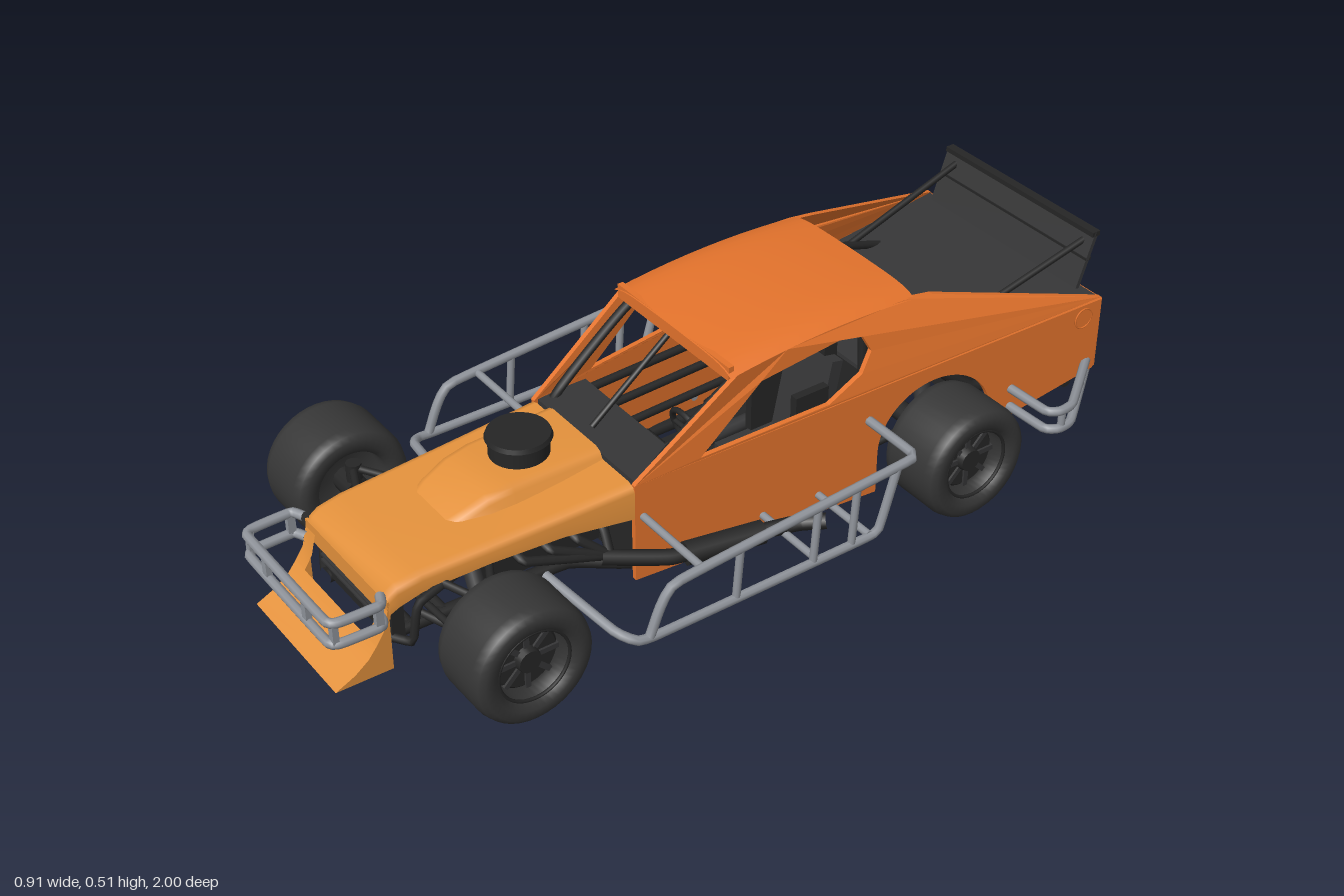
import * as THREE from 'three';

const mat = (name, color, side = THREE.FrontSide) => {
  const m = new THREE.MeshStandardMaterial({ color, side });
  m.name = name;
  return m;
};
const V = (p) => new THREE.Vector3(...p);
const C = 0.027; // the cabin sits slightly to the left of the chassis

export function createModel() {
  const car = new THREE.Group();
  car.name = 'raceCar';
  const orange = mat('bodyOrange', 0xe4732c, THREE.DoubleSide);
  const amber = mat('hoodAmber', 0xe3913c, THREE.DoubleSide);
  const rubber = mat('tyreGrey', 0x363636);
  const black = mat('frameBlack', 0x262626);
  const deckGrey = mat('deckGrey', 0x363637);
  const steel = mat('tubeSteel', 0x8f939a);

  const add = (name, geo, m, pos = [0, 0, 0], parent = car) => {
    const mesh = new THREE.Mesh(geo, m);
    mesh.name = name;
    mesh.position.set(...pos);
    parent.add(mesh);
    return mesh;
  };
  const box = (name, size, pos, m) => add(name, new THREE.BoxGeometry(...size), m, pos);
  const bar = (name, a, b, r, m) => {
    const d = V(b).sub(V(a));
    const mesh = add(name, new THREE.CylinderGeometry(r, r, d.length(), 10), m);
    mesh.position.copy(V(a)).addScaledVector(d, 0.5);
    mesh.quaternion.setFromUnitVectors(new THREE.Vector3(0, 1, 0), d.normalize());
    return mesh;
  };
  const tube = (name, pts, r, m) => {
    const curve = new THREE.CatmullRomCurve3(pts.map(V), false, 'catmullrom', 0.15);
    return add(name, new THREE.TubeGeometry(curve, pts.length * 8, r, 8), m);
  };
  // Smooth skin through a list of cross-sections with equal point counts
  const loft = (name, sections, m) => {
    const n = sections[0].length, idx = [];
    for (let i = 0; i < sections.length - 1; i++)
      for (let j = 0; j < n - 1; j++) {
        const a = i * n + j, b = a + n;
        idx.push(a, b, a + 1, b, b + 1, a + 1);
      }
    const g = new THREE.BufferGeometry();
    g.setAttribute('position', new THREE.Float32BufferAttribute(sections.flat(2), 3));
    g.setIndex(idx);
    g.computeVertexNormals();
    return add(name, g, m);
  };
  const bend = (geo, rule) => {
    const p = geo.attributes.position;
    for (let i = 0; i < p.count; i++) p.setXYZ(i, ...rule(p.getX(i), p.getY(i), p.getZ(i)));
    geo.computeVertexNormals();
    return geo;
  };

  // Half width of the bodywork at a given length and height
  const halfWidth = (z, y) => {
    const base = 0.2 + (0.285 - z) * 0.087, belt = 0.285 + (0.285 - z) * 0.0545;
    return THREE.MathUtils.lerp(base, 0.215, Math.max(0, (y - belt) / (0.49 - belt)));
  };
  const poly = (pts) => pts.map((p) => new THREE.Vector2(...p));

  // Body sides: lower panel with wheel arch, upper panel with window
  const lower = new THREE.Shape(poly([[0.285, 0.035], [0.285, 0.285], [-0.945, 0.352], [-0.94, 0.165], [-0.645, 0.1], [-0.645, 0.14]]));
  lower.absellipse(-0.49, 0.14, 0.155, 0.15, Math.PI, 0, true);
  lower.lineTo(-0.335, 0.035);
  const upper = new THREE.Shape(poly([[0.285, 0.285], [0.03, 0.475], [-0.1, 0.489], [-0.26, 0.497], [-0.435, 0.492], [-0.5, 0.482], [-0.945, 0.356], [-0.945, 0.352]]));
  upper.holes.push(new THREE.Path(poly([[0.125, 0.3], [-0.03, 0.437], [-0.26, 0.463], [-0.3, 0.45], [-0.32, 0.41], [-0.29, 0.365], [-0.2, 0.32]])));
  for (const s of [1, -1]) {
    for (const [name, shape] of [['lowerSidePanel', lower], ['upperSidePanel', upper]]) {
      const g = new THREE.ExtrudeGeometry(shape, { depth: 0.012, bevelEnabled: false, curveSegments: 20 });
      add(name, bend(g, (z, y, d) => [C + s * (halfWidth(z, y) - d), y, z]), orange);
    }
    const cap = add('fuelCapRing', new THREE.TorusGeometry(0.025, 0.002, 6, 24), orange, [C + s * (halfWidth(-0.895, 0.315) + 0.001), 0.315, -0.895]);
    cap.rotation.y = Math.PI / 2;
  }

  // Gently crowned roof with rounded edges, and windscreen header
  const roof = new THREE.PlaneGeometry(2, 0.5, 20, 10);
  add('roof', bend(roof, (u, v) => {
    const z = -0.2 + v;
    return [C + u * 0.217, 0.496 - 0.24 * (z + 0.26) ** 2 + 0.015 * (1 - u ** 8) + 0.005 * (1 - u * u), z];
  }), orange);
  box('windscreenHeader', [0.41, 0.034, 0.014], [C, 0.476, 0.04], orange);

  // Tail panel with pressed lines, deck and spoiler
  box('tailPanel', [0.61, 0.185, 0.01], [C, 0.26, -0.942], orange);
  for (const y of [0.25, 0.27, 0.29]) box('tailPressing', [0.4, 0.003, 0.003], [C, y, -0.948], orange);
  add('rearDeck', bend(new THREE.BoxGeometry(2, 0.01, 0.5), (x, y, z) =>
    [C + x * (halfWidth(z - 0.69, 0.3) - 0.016), 0.339 + y - z * 0.05, z - 0.69]), deckGrey);
  box('spoiler', [0.507, 0.14, 0.01], [0.024, 0.427, -0.942], deckGrey).rotation.x = -0.33;
  box('spoilerLip', [0.507, 0.012, 0.022], [0.024, 0.49, -0.963], black);
  box('spoilerRib', [0.507, 0.008, 0.016], [0.024, 0.43, -0.945], black);

  // Hood with side skirts, and a raised scoop with flared flanks
  const shell = ([z, l, r, top, skirt, flare = 0]) => [[l - flare, skirt, z], [l, top - 0.018, z], [l + 0.006, top - 0.006, z], [l + 0.022, top, z],
    [r - 0.022, top, z], [r - 0.006, top - 0.006, z], [r, top - 0.018, z], [r + flare, skirt, z]];
  loft('hood', [[0.285, -0.173, 0.227, 0.286, 0.2], [0.45, -0.174, 0.208, 0.27, 0.215], [0.62, -0.175, 0.19, 0.256, 0.212],
    [0.77, -0.175, 0.175, 0.245, 0.2], [0.825, -0.173, 0.173, 0.235, 0.185], [0.845, -0.172, 0.172, 0.222, 0.175], [0.853, -0.172, 0.172, 0.2, 0.165]].map(shell), amber);
  loft('hoodScoop', [[0.285, -0.105, 0.105, 0.308, 0.265, 0.02], [0.5, -0.1, 0.1, 0.303, 0.25, 0.02], [0.56, -0.096, 0.096, 0.293, 0.245, 0.018],
    [0.62, -0.088, 0.088, 0.268, 0.24, 0.014], [0.66, -0.075, 0.075, 0.245, 0.23, 0.01]].map(shell), amber);
  box('nosePanel', [0.344, 0.044, 0.006], [0, 0.186, 0.85], amber);

  // Front valance: curved scoop, side plates and posts beside the grille
  const curve = [[0.11, 0.885], [0.085, 0.905], [0.06, 0.938], [0.038, 0.985]];
  loft('valance', curve.map(([y, z]) => [[-0.173, y, z], [0.173, y, z]]), amber);
  const plate = new THREE.Shape(poly([[0.85, 0.2], [0.865, 0.14], ...curve.map(([y, z]) => [z, y]), [0.85, 0.036]]));
  for (const s of [1, -1]) {
    add('valanceSide', bend(new THREE.ShapeGeometry(plate), (z, y) => [s * 0.173, y, z]), amber);
    loft('grillePost', [[0.2, 0.85], [0.14, 0.865], [0.11, 0.885]].map(([y, z]) => [[s * 0.132, y, z], [s * 0.173, y, z]]), amber);
  }
  box('radiator', [0.3, 0.1, 0.03], [0, 0.13, 0.82], black);
  for (const y of [0.12, 0.135, 0.15]) box('grilleSlat', [0.264, 0.005, 0.01], [0, y, 0.84], deckGrey);

  // Air cleaner and engine
  add('airCleaner', new THREE.CylinderGeometry(0.067, 0.067, 0.045, 28), black, [0, 0.325, 0.425]);
  add('airCleanerLid', new THREE.CylinderGeometry(0.07, 0.074, 0.01, 28), black, [0, 0.35, 0.425]);
  box('engineBlock', [0.17, 0.14, 0.3], [0.01, 0.14, 0.44], black);
  for (const s of [1, -1]) {
    box('cylinderHead', [0.08, 0.06, 0.28], [0.01 + s * 0.1, 0.2, 0.44], deckGrey).rotation.z = -s * 0.6;
    for (let i = 0; i < 4; i++) {
      const z = 0.54 - i * 0.065;
      tube('exhaustHeader', [[s * 0.12, 0.19, z], [s * 0.18, 0.17, z - 0.01], [C + s * 0.185, 0.12, 0.34]], 0.011, black);
    }
  }

  // Wheels
  const half = [[0, -0.035], [0.078, -0.035], [0.084, -0.072], [0.1, -0.086], [0.122, -0.0845], [0.134, -0.075], [0.14, -0.055]];
  const profile = poly([...half, ...half.map(([r, y]) => [r, -y]).reverse()]);
  for (const s of [1, -1]) for (const z of [0.675, -0.485]) {
    const wheel = new THREE.Group();
    wheel.name = z > 0 ? 'frontWheel' : 'rearWheel';
    wheel.position.set(s * 0.368, 0.142, z);
    wheel.rotation.z = -s * Math.PI / 2;
    car.add(wheel);
    add('tyre', new THREE.LatheGeometry(profile, 40), rubber, [0, 0, 0], wheel);
    add('rimDisc', new THREE.CylinderGeometry(0.07, 0.076, 0.006, 32), black, [0, 0.037, 0], wheel);
    add('hub', new THREE.CylinderGeometry(0.026, 0.03, 0.02, 16), black, [0, 0.048, 0], wheel);
    add('rimRing', new THREE.TorusGeometry(0.084, 0.004, 8, 36), black, [0, 0.071, 0], wheel).rotation.x = Math.PI / 2;
    for (let i = 0; i < 8; i++) {
      const a = i * Math.PI / 4;
      add('spoke', new THREE.BoxGeometry(0.05, 0.01, 0.012), deckGrey, [0.05 * Math.cos(a), 0.04, -0.05 * Math.sin(a)], wheel).rotation.y = a;
    }
  }

  // Front bumper
  for (const y of [0.17, 0.224])
    tube('frontBumperRail', [[-0.16, y, 0.86], [-0.188, y, 0.875], [-0.186, y, 0.96], [-0.168, y, 0.987], [0.168, y, 0.987], [0.186, y, 0.96], [0.188, y, 0.875], [0.16, y, 0.86]], 0.011, steel);
  for (const x of [-0.18, -0.085, 0.085, 0.18]) box('frontBumperPost', [0.018, 0.054, 0.014], [x, 0.197, x * x > 0.02 ? 0.978 : 0.988], steel);
  for (const x of [-0.187, 0.187]) box('frontBumperPost', [0.014, 0.054, 0.018], [x, 0.197, 0.88], steel);

  for (const s of [1, -1]) {
    // Side guard rails
    tube('sideRailUpper', [[s * 0.444, 0.085, 0.4], [s * 0.444, 0.195, 0.335], [s * 0.444, 0.24, -0.28], [s * 0.425, 0.241, -0.305], [s * 0.26, 0.24, -0.308]], 0.011, steel);
    tube('sideRailLower', [[s * 0.2, 0.13, 0.495], [s * 0.405, 0.1, 0.46], [s * 0.44, 0.085, 0.43], [s * 0.444, 0.08, 0.38], [s * 0.444, 0.08, -0.18], [s * 0.444, 0.1, -0.21], [s * 0.444, 0.235, -0.25]], 0.011, steel);
    for (const z of [0.17, -0.035, -0.14]) bar('sideRailPost', [s * 0.444, 0.08, z + 0.01], [s * 0.444, 0.215 - z * 0.06, z], 0.009, steel);
    for (const [z, y] of [[0.265, 0.2], [-0.035, 0.085], [-0.18, 0.085]]) bar('sideRailBrace', [s * 0.444, y, z], [s * 0.2, y, z], 0.009, steel);

    // Rear corner guards
    for (const [y0, y1] of [[0.188, 0.188], [0.14, 0.162]])
      tube('rearGuard', [[s * 0.23, y1, -0.95], [s * 0.24, y1, -0.986], [s * 0.285, y1, -0.975], [s * 0.438, y0, -0.775], [s * 0.445, y0, -0.73], [s * 0.425, y0, -0.705], [s * 0.27, y0, -0.7]], 0.011, steel);
    bar('rearGuardPost', [s * 0.443, 0.14, -0.74], [s * 0.443, 0.188, -0.74], 0.009, steel);
    bar('rearGuardPost', [s * 0.362, 0.15, -0.875], [s * 0.362, 0.188, -0.875], 0.009, steel);
    bar('spoilerStrut', [C + s * 0.2, 0.35, -0.56], [C + s * 0.22, 0.465, -0.955], 0.008, black);

    // Exhaust pipe and muffler
    tube('exhaustPipe', [[C + s * 0.18, 0.12, 0.36], [C + s * 0.24, 0.095, 0.22], [C + s * 0.285, 0.095, 0], [C + s * 0.31, 0.1, -0.07], [C + s * 0.35, 0.11, -0.115]], 0.018, black);
    bar('muffler', [C + s * 0.248, 0.095, 0.19], [C + s * 0.284, 0.095, 0.01], 0.028, black);

    // Front suspension
    for (const y of [0.085, 0.195]) for (const z of [0.58, 0.75])
      bar('frontArm', [s * 0.11, y + 0.01, z], [s * 0.29, y, 0.675], 0.009, black);
    bar('frontUpright', [s * 0.285, 0.07, 0.675], [s * 0.285, 0.21, 0.675], 0.018, black);
    bar('frontSpindle', [s * 0.27, 0.142, 0.675], [s * 0.35, 0.142, 0.675], 0.03, black);
    bar('frontShock', [s * 0.15, 0.23, 0.65], [s * 0.24, 0.085, 0.66], 0.019, deckGrey);
    bar('tieRod', [s * 0.08, 0.12, 0.74], [s * 0.29, 0.12, 0.73], 0.008, black);
    tube('frontHoop', [[s * 0.13, 0.09, 0.84], [s * 0.19, 0.1, 0.81], [s * 0.19, 0.19, 0.79], [s * 0.15, 0.21, 0.6], [s * 0.17, 0.23, 0.3]], 0.01, black);

    // Chassis rails and rear suspension
    tube('chassisRail', [[s * 0.12, 0.08, 0.84], [s * 0.13, 0.075, 0.4], [s * 0.19, 0.05, 0.25], [s * 0.19, 0.05, -0.3], [s * 0.16, 0.22, -0.42], [s * 0.16, 0.22, -0.58], [s * 0.18, 0.12, -0.7], [s * 0.2, 0.11, -0.9]], 0.015, black);
    bar('trailingArm', [s * 0.18, 0.07, -0.2], [s * 0.22, 0.12, -0.48], 0.011, black);
    bar('rearShock', [s * 0.17, 0.3, -0.54], [s * 0.23, 0.1, -0.52], 0.02, deckGrey);
    bar('rearBrace', [s * 0.2, 0.12, -0.89], [s * 0.24, 0.28, -0.65], 0.009, black);
    bar('rearDiagonal', [s * 0.18, 0.12, -0.7], [-s * 0.16, 0.22, -0.5], 0.009, black);

    // Roll cage
    const x = (v) => C + s * v;
    tube('cageSide', [[x(0.18), 0.06, 0.25], [x(0.18), 0.28, 0.24], [x(0.19), 0.455, 0.01], [x(0.19), 0.47, -0.32], [x(0.2), 0.06, -0.33]], 0.011, black);
    bar('cageRearStay', [x(0.18), 0.46, -0.33], [x(0.2), 0.33, -0.72], 0.01, black);
    for (const y of [0.12, 0.19, 0.26]) bar('doorBar', [x(0.185), y, 0.25], [x(0.21), y, -0.33], 0.01, black);
    bar('cageDiagonal', [x(0.19), 0.46, -0.33], [x(-0.05), 0.3, -0.4], 0.009, black);
  }
  for (const z of [0.01, -0.32]) bar('cageCrossBar', [C - 0.19, 0.46, z], [C + 0.19, 0.46, z], 0.011, black);
  bar('windscreenBar', [0.0, 0.465, 0.02], [0.0, 0.29, 0.24], 0.007, black);

  // Floor, firewalls and cross members
  box('floorPan', [0.32, 0.012, 0.58], [0.01, 0.045, -0.03], black);
  box('firewall', [0.385, 0.235, 0.01], [C, 0.16, 0.27], black);
  box('dashboard', [0.39, 0.02, 0.13], [C, 0.275, 0.21], deckGrey);
  box('rearBulkhead', [0.47, 0.27, 0.01], [C, 0.19, -0.345], black);
  box('innerShelf', [0.46, 0.01, 0.12], [C, 0.322, -0.4], deckGrey);
  for (const z of [0.78, 0.7, 0.58]) bar('frontCrossMember', [-0.125, 0.08, z], [0.125, 0.08, z], 0.014, black);
  for (const z of [0.24, -0.03, -0.3]) bar('floorCrossMember', [-0.19, 0.05, z], [0.19, 0.05, z], 0.014, black);
  for (const z of [-0.42, -0.58]) bar('rearCrossMember', [-0.16, 0.22, z], [0.16, 0.22, z], 0.012, black);
  bar('rearAxle', [-0.34, 0.142, -0.485], [0.34, 0.142, -0.485], 0.024, black);
  add('differential', new THREE.SphereGeometry(0.065, 18, 12), black, [0, 0.142, -0.485]);
  bar('driveshaft', [0, 0.12, 0.25], [0, 0.14, -0.45], 0.018, deckGrey);
  box('transmission', [0.11, 0.1, 0.2], [0, 0.11, 0.2], black);
  box('fuelCell', [0.3, 0.16, 0.2], [C, 0.17, -0.77], black);
  for (const y of [0.105, 0.155]) bar('rearBumper', [-0.23, y, -0.915], [0.28, y, -0.915], 0.016, black);
  box('rearBumperPlate', [0.5, 0.06, 0.008], [C, 0.13, -0.91], deckGrey);

  // Seat and steering wheel
  box('seatBase', [0.16, 0.05, 0.16], [0.12, 0.12, -0.14], deckGrey);
  box('seatBack', [0.16, 0.26, 0.03], [0.12, 0.24, -0.25], deckGrey).rotation.x = -0.2;
  box('headRest', [0.1, 0.06, 0.035], [0.12, 0.385, -0.28], black);
  for (const s of [1, -1]) box('seatBolster', [0.02, 0.18, 0.09], [0.12 + s * 0.08, 0.23, -0.2], black);
  add('steeringWheel', new THREE.TorusGeometry(0.055, 0.007, 8, 28), black, [0.135, 0.29, 0.08]).rotation.x = 0.3;
  bar('steeringColumn', [0.135, 0.29, 0.08], [0.135, 0.24, 0.26], 0.009, black);
  bar('steeringSpoke', [0.082, 0.29, 0.08], [0.188, 0.29, 0.08], 0.006, black);
  return car;
}
